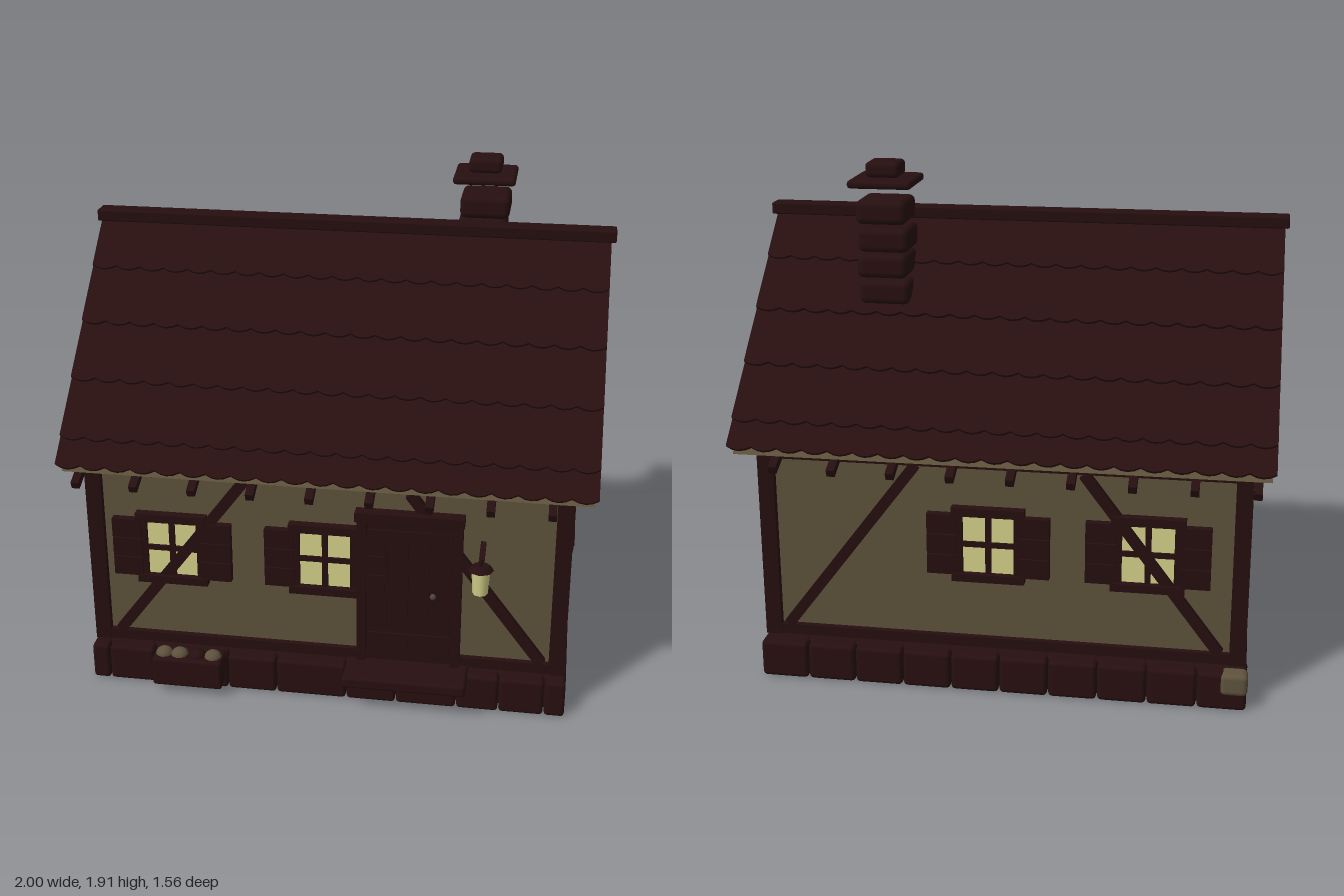
import * as THREE from 'three';
import { RoundedBoxGeometry } from 'three/addons/geometries/RoundedBoxGeometry.js';

const mat = (name, color, side = THREE.FrontSide) => {
  const m = new THREE.MeshStandardMaterial({ color, side });
  m.name = name;
  return m;
};

export function createModel() {
  const plaster = mat('plaster', 0x5c5039);
  const wood = mat('dark wood', 0x250e0f);
  const tile = mat('roof tile', 0x280f10, THREE.DoubleSide);
  const stone = mat('dark stone', 0x270f10);
  const glow = mat('lit glass', 0xd2ce88);
  const pebble = mat('pale stone', 0x5e523c);
  const metal = mat('metal', 0x4a4440);

  const model = new THREE.Group();
  model.name = 'cottage';
  const CZ = -0.02; // depth centre of the house

  const add = (parent, name, geo, m, x = 0, y = 0, z = 0) => {
    const mesh = new THREE.Mesh(geo, m);
    mesh.name = name;
    mesh.position.set(x, y, z);
    parent.add(mesh);
    return mesh;
  };
  // Box given by its minimum and maximum on each axis
  const span = (parent, name, m, x0, x1, y0, y1, z0, z1, r = 0) => {
    const [w, h, d] = [x1 - x0, y1 - y0, z1 - z0];
    const geo = r ? new RoundedBoxGeometry(w, h, d, 2, r) : new THREE.BoxGeometry(w, h, d);
    return add(parent, name, geo, m, (x0 + x1) / 2, (y0 + y1) / 2, (z0 + z1) / 2);
  };
  const group = (name, parent = model) => {
    const g = new THREE.Group();
    g.name = name;
    parent.add(g);
    return g;
  };

  // Stone base: solid middle with rows of blocks in front and behind
  const base = group('foundation');
  span(base, 'baseCore', stone, -0.915, 0.908, 0, 0.143, -0.68, 0.63, 0.015);
  const joints = [-0.92, -0.85, -0.67, -0.38, -0.19, 0.08, 0.27, 0.5, 0.66, 0.83, 0.91];
  for (let i = 0; i < joints.length - 1; i++) {
    span(base, 'frontStone', stone, joints[i] + 0.002, joints[i + 1] - 0.002, 0, 0.145, 0.55, 0.677, 0.014);
  }
  for (let i = 0; i < 10; i++) {
    const x = -0.92 + i * 0.183;
    span(base, 'backStone', stone, x + 0.002, x + 0.181, 0, 0.145, -0.727, -0.6, 0.016);
  }
  span(base, 'paleCornerStone', pebble, -0.922, -0.82, 0.06, 0.147, -0.735, -0.66, 0.02);

  // Doorstep and the stone trough with pebbles
  span(base, 'doorstep', stone, 0.08, 0.54, 0.115, 0.162, 0.6, 0.778, 0.012);
  span(base, 'trough', stone, -0.66, -0.39, 0.035, 0.155, 0.64, 0.748, 0.012);
  [-0.62, -0.56, -0.49, -0.43].forEach((x, i) => {
    const p = add(base, 'pebble', new THREE.IcosahedronGeometry(0.034, 1), i === 2 ? stone : pebble, x, 0.152, 0.7);
    p.scale.set(1, 0.85, 1);
    p.rotation.y = i;
  });

  // Plaster walls and the gable block under the roof
  span(model, 'walls', plaster, -0.88, 0.88, 0.158, 0.9, -0.65, 0.61);
  const gable = new THREE.Shape([[-0.717, 0.9], [0.717, 0.9], [0, 1.63]].map(p => new THREE.Vector2(...p)));
  const gableGeo = new THREE.ExtrudeGeometry(gable, { depth: 1.94, bevelEnabled: false });
  add(model, 'gable', gableGeo.rotateY(Math.PI / 2), plaster, -0.972, 0, CZ);

  // Timber frame
  const frame = group('timberFrame');
  for (const x of [-0.88, 0.87]) for (const z of [-0.648, 0.607]) {
    span(frame, 'cornerPost', wood, x - 0.03, x + 0.03, 0.156, 0.9, z - 0.029, z + 0.029);
  }
  for (const [y0, y1] of [[0.157, 0.197], [0.867, 0.899]]) {
    for (const z of [-0.65, 0.61]) span(frame, 'longBeam', wood, -0.88, 0.87, y0, y1, z - 0.022, z + 0.022);
    for (const x of [-0.88, 0.875]) span(frame, 'crossBeam', wood, x - 0.022, x + 0.022, y0, y1, -0.65, 0.61);
  }
  // Diagonal brace in the plane of a wall facing +z in its parent
  const brace = (parent, x0, y0, x1, y1, z) => {
    const b = add(parent, 'brace', new THREE.BoxGeometry(0.04, Math.hypot(x1 - x0, y1 - y0), 0.035),
      wood, (x0 + x1) / 2, (y0 + y1) / 2, z);
    b.rotation.z = -Math.atan2(x1 - x0, y1 - y0);
  };

  // Window with bars, lintel, sill and three-plank shutters, centred on x
  const windowAt = (parent, x, z) => {
    const g = group('window', parent);
    g.position.set(x, 0, z);
    span(g, 'glass', glow, -0.1, 0.1, 0.45, 0.69, 0, 0.008);
    for (const s of [-1, 1]) {
      span(g, 'windowJamb', wood, s * 0.105 - 0.01, s * 0.105 + 0.01, 0.45, 0.69, 0, 0.022);
      for (let k = 0; k < 3; k++) {
        const y = 0.452 + k * 0.08;
        span(g, 'shutterPlank', wood, s * 0.171 - 0.056, s * 0.171 + 0.056, y, y + 0.075, 0, 0.03);
      }
      span(g, 'shutterBacking', wood, s * 0.171 - 0.05, s * 0.171 + 0.05, 0.455, 0.68, 0, 0.016);
    }
    span(g, 'verticalBar', wood, -0.011, 0.011, 0.45, 0.69, 0, 0.018);
    span(g, 'horizontalBar', wood, -0.1, 0.1, 0.56, 0.58, 0, 0.018);
    span(g, 'lintel', wood, -0.135, 0.135, 0.685, 0.717, 0, 0.035);
    span(g, 'sill', wood, -0.135, 0.135, 0.427, 0.457, 0, 0.035);
  };

  // Front wall
  const front = group('frontWall');
  brace(front, -0.81, 0.2, -0.31, 0.865, 0.617);
  brace(front, 0.81, 0.2, 0.31, 0.865, 0.617);
  for (const x of [-0.588, -0.005]) windowAt(front, x, 0.611);

  // Back wall, turned to face -z
  const back = group('backWall');
  back.rotation.y = Math.PI;
  brace(back, -0.81, 0.2, -0.31, 0.865, 0.657);
  brace(back, 0.81, 0.2, 0.31, 0.865, 0.657);
  for (const x of [-0.04, 0.545]) windowAt(back, x, 0.651);

  // End walls; only the one at +x has a window
  for (const s of [-1, 1]) {
    const end = group('endWall');
    end.position.z = CZ;
    end.rotation.y = s * Math.PI / 2;
    brace(end, -0.58, 0.2, -0.23, 0.865, 0.882);
    brace(end, 0.58, 0.2, 0.23, 0.865, 0.882);
    if (s > 0) windowAt(end, 0, 0.881);
  }

  // Door
  const door = group('door');
  span(door, 'doorBacking', wood, 0.14, 0.485, 0.16, 0.76, 0.6, 0.622);
  for (let i = 0; i < 4; i++) {
    const x = 0.155 + i * 0.079;
    span(door, 'doorPlank', wood, x, x + 0.074, 0.165, 0.755, 0.61, 0.632);
  }
  for (const y of [0.265, 0.7]) span(door, 'doorBand', wood, 0.155, 0.47, y - 0.018, y + 0.018, 0.62, 0.64);
  for (const x of [0.135, 0.49]) span(door, 'doorJamb', wood, x - 0.017, x + 0.017, 0.13, 0.76, 0.6, 0.65);
  span(door, 'doorLintel', wood, 0.11, 0.512, 0.755, 0.792, 0.6, 0.66);
  add(door, 'doorKnob', new THREE.SphereGeometry(0.012, 10, 8), metal, 0.402, 0.455, 0.64);

  // Hanging lantern on a bracket
  const lantern = group('lantern');
  lantern.position.set(0.58, 0, 0.735);
  const arm = span(lantern, 'lanternArm', wood, -0.01, 0.01, 0.655, 0.671, -0.13, 0.01);
  arm.rotation.x = 0.25;
  add(lantern, 'lanternGlass', new THREE.CylinderGeometry(0.034, 0.028, 0.095, 8), glow, 0, 0.592, 0);
  add(lantern, 'lanternCap', new THREE.CylinderGeometry(0.03, 0.047, 0.016, 8), wood, 0, 0.648, 0);
  add(lantern, 'lanternHook', new THREE.CylinderGeometry(0.008, 0.008, 0.03, 6), wood, 0, 0.667, 0);

  // Roof: each slope has five overlapping rows with scalloped lower edges
  const X0 = -0.985, COUNT = 21, STEP = 1.965 / COUNT;
  const tileRow = length => {
    const s = new THREE.Shape();
    s.moveTo(-X0 - 0.005, 0).lineTo(X0, 0).lineTo(X0, -length);
    for (let i = 0; i < COUNT; i++) {
      const x = X0 + i * STEP;
      s.quadraticCurveTo(x + STEP / 2, -length - 0.03, x + STEP, -length);
    }
    return new THREE.ExtrudeGeometry(s, { depth: 0.012, bevelEnabled: false, curveSegments: 4 });
  };
  const ends = [0.225, 0.46, 0.695, 0.93, 1.04];
  for (const s of [1, -1]) {
    const slope = group('roofSlope');
    slope.position.set(s > 0 ? 0 : -0.005, 1.665, CZ);
    slope.rotation.y = s > 0 ? 0 : Math.PI;
    const pitch = group('tileRows', slope);
    pitch.rotation.x = -Math.PI / 4;
    ends.forEach((end, i) => {
      const top = i ? ends[i - 1] - 0.04 : 0;
      const row = add(pitch, 'tileRow', tileRow(end - top), tile, 0, -top, 0);
      row.rotation.x = -0.055;
    });
    // Rafter tails under the eaves
    for (let k = 0; k < 9; k++) {
      const x = -0.925 + k * 0.2185;
      const r = add(model, 'rafterTail', new THREE.BoxGeometry(0.03, 0.03, 0.14), wood, x, 0.872, CZ + s * 0.655);
      r.rotation.x = s * 0.4;
    }
  }
  span(model, 'ridgeBeam', wood, -1, 0.998, 1.655, 1.7, -0.063, 0.015, 0.006);

  // Chimney of loosely stacked stones with a cap
  const chimney = group('chimney');
  chimney.position.set(0.49, 0, -0.25);
  [1.28, 1.378, 1.475, 1.575, 1.677].forEach((y, i) => {
    const o = (i % 2 ? -1 : 1) * 0.005;
    span(chimney, 'chimneyStone', stone, -0.096 + o, 0.096 + o, y, y + 0.091, -0.096 + o, 0.096 + o, 0.025);
  });
  span(chimney, 'chimneyCap', stone, -0.12, 0.12, 1.815, 1.846, -0.12, 0.12, 0.014);
  span(chimney, 'chimneyPot', stone, -0.064, 0.064, 1.848, 1.906, -0.064, 0.064, 0.018);

  return model;
}
